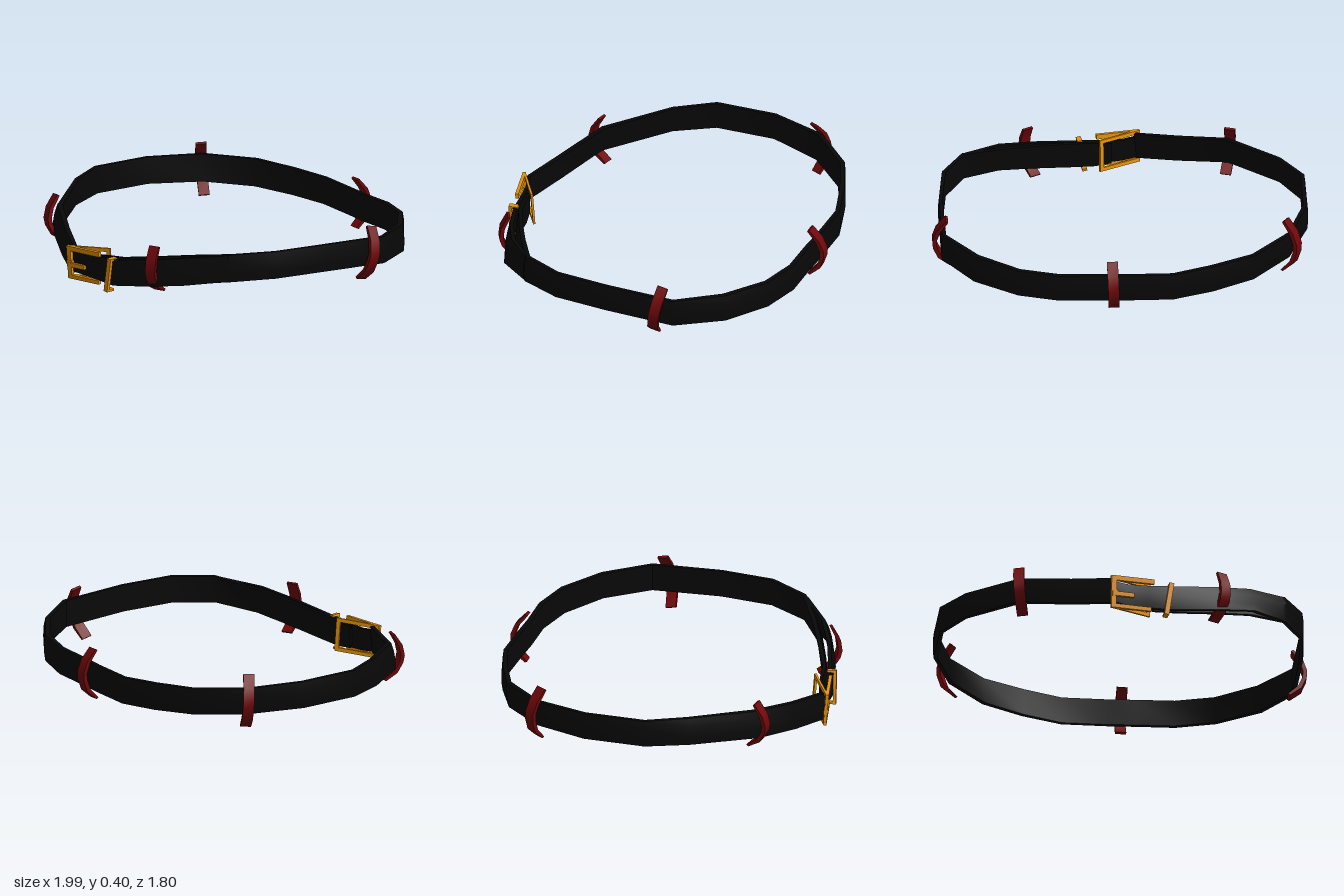
import * as THREE from 'three';
import { toCreasedNormals } from 'three/addons/utils/BufferGeometryUtils.js';

const black = new THREE.MeshStandardMaterial({ name: 'black leather', color: 0x080808 });
const red = new THREE.MeshStandardMaterial({ name: 'dark red', color: 0x700609 });
const gold = new THREE.MeshStandardMaterial({ name: 'gold metal', color: 0xeb960a });

function addMesh(parent, name, geometry, material) {
  const mesh = new THREE.Mesh(geometry, material);
  mesh.name = name;
  parent.add(mesh);
  return mesh;
}

// Strap swept along points [x, y, z, halfThickness, lean, halfHeight]; lean pushes the lower edge outward
function strapGeometry(points) {
  const up = new THREE.Vector3(0, 1, 0);
  const centres = points.map((p) => new THREE.Vector3(p[0], p[1], p[2]));
  const section = [[-1, -1], [0.6, -1], [1, -0.4], [1, 0.4], [0.6, 1], [-1, 1]];
  const n = section.length;
  const verts = [];
  const index = [];
  centres.forEach((c, i) => {
    const before = centres[Math.max(i - 1, 0)];
    const after = centres[Math.min(i + 1, centres.length - 1)];
    const along = after.clone().sub(before).setY(0).normalize();
    const out = up.clone().cross(along);
    const [, , , thick, lean, halfHeight = 0.073] = points[i];
    for (const [a, b] of section) {
      const p = c.clone().addScaledVector(out, a * thick - b * lean).addScaledVector(up, b * halfHeight);
      verts.push(p.x, p.y, p.z);
    }
  });
  for (let i = 0; i < centres.length - 1; i++) {
    for (let j = 0; j < n; j++) {
      const a = i * n + j, b = i * n + (j + 1) % n;
      index.push(a, b, b + n, a, b + n, a + n);
    }
  }
  // End caps
  const last = (centres.length - 1) * n;
  for (let j = 1; j < n - 1; j++) {
    index.push(0, j + 1, j, last, last + j, last + j + 1);
  }
  const g = new THREE.BufferGeometry();
  g.setAttribute('position', new THREE.Float32BufferAttribute(verts, 3));
  g.setIndex(index);
  return toCreasedNormals(g, 0.6);
}

// Flat outline extruded evenly about z = 0
function plate(points, depth, hole) {
  const vectors = (list) => list.map(([x, y]) => new THREE.Vector2(x, y));
  const shape = new THREE.Shape(vectors(points));
  if (hole) shape.holes.push(new THREE.Path(vectors(hole)));
  const g = new THREE.ExtrudeGeometry(shape, { depth, bevelEnabled: false });
  g.translate(0, 0, -depth / 2);
  return toCreasedNormals(g, 0.6);
}

// Turn a clip so that it faces outward along (nx, nz)
function placeClip(mesh, x, y, z, nx, nz, roll, lean) {
  mesh.position.set(x, y, z);
  mesh.rotation.set(roll, Math.atan2(-nz, nx), lean, 'YXZ');
}

export function createModel() {
  const model = new THREE.Group();
  model.name = 'belt';

  // Main strap, from the buckle round the back to the overlap
  addMesh(model, 'strap', strapGeometry([
    [-0.13, 0.125, 0.86, 0.013, 0.005],
    [-0.35, 0.157, 0.76, 0.016, 0.008],
    [-0.61, 0.21, 0.63, 0.018, 0.012],
    [-0.87, 0.25, 0.33, 0.014, 0.008],
    [-0.98, 0.26, 0.12, 0.013, 0],
    [-0.98, 0.262, -0.21, 0.013, 0],
    [-0.88, 0.255, -0.5, 0.015, -0.008],
    [-0.68, 0.24, -0.705, 0.016, -0.006],
    [-0.46, 0.225, -0.795, 0.016, 0],
    [-0.25, 0.212, -0.85, 0.014, 0],
    [0, 0.207, -0.84, 0.014, 0],
    [0.14, 0.206, -0.83, 0.015, 0],
    [0.35, 0.207, -0.825, 0.016, 0],
    [0.56, 0.21, -0.765, 0.016, 0],
    [0.78, 0.215, -0.61, 0.017, 0.004],
    [0.94, 0.22, -0.38, 0.014, 0],
    [0.94, 0.232, 0, 0.012, 0],
    [0.91, 0.232, 0.29, 0.013, 0],
    [0.80, 0.222, 0.5, 0.014, 0.004],
    [0.6, 0.19, 0.625, 0.015, 0.02],
    [0.42, 0.158, 0.7, 0.014, 0.014],
    [0.2, 0.12, 0.78, 0.012, 0.005],
    [0.09, 0.114, 0.79, 0.01, 0, 0.068],
    [0, 0.112, 0.806, 0.008, 0, 0.06],
  ]), black);

  // Tongue lying over the strap and through the buckle
  addMesh(model, 'tongue', strapGeometry([
    [0.79, 0.22, 0.512, 0.012, 0.004, 0.07],
    [0.61, 0.188, 0.675, 0.014, 0.02, 0.07],
    [0.42, 0.152, 0.752, 0.013, 0.012, 0.07],
    [0.18, 0.113, 0.816, 0.013, 0.004, 0.07],
    [0.05, 0.11, 0.825, 0.012, 0, 0.064],
    [-0.06, 0.112, 0.838, 0.011, 0, 0.06],
    [-0.13, 0.118, 0.858, 0.01, 0, 0.06],
  ]), black);

  // Red crescent clips hooked over the strap
  const redClip = plate([
    [-0.05, 0.148], [0.005, 0.085], [0.03, 0.022], [0.03, -0.022], [0.008, -0.09], [-0.05, -0.145],
    [-0.062, -0.138], [-0.012, -0.08], [0.008, -0.02], [0.008, 0.02], [-0.014, 0.076], [-0.062, 0.14],
  ], 0.058);
  [
    ['rightClip', -0.615, 0.2, 0.662, -0.2, 0.98, 0.06, -0.18, 0.9],
    ['rightBackClip', -0.905, 0.25, -0.512, -0.87, -0.5, -0.06, 0, 1],
    ['backClip', 0.065, 0.215, -0.873, 0, -1, 0.03, 0, 0.94],
    ['leftClip', 0.965, 0.207, -0.29, 1, 0, -0.18, -0.08, 1],
    ['leftFrontClip', 0.45, 0.16, 0.76, 0.46, 0.89, -0.02, -0.28, 0.92],
  ].forEach(([name, x, y, z, nx, nz, roll, lean, size]) => {
    const clip = addMesh(model, name, redClip, red);
    placeClip(clip, x, y, z, nx, nz, roll, lean);
    clip.scale.y = size;
  });

  // Gold keeper beside the buckle
  const keeper = addMesh(model, 'keeper', plate([
    [-0.03, 0.093], [0.02, 0.093], [0.02, -0.093], [-0.03, -0.093],
    [-0.03, -0.08], [0.003, -0.08], [0.003, 0.08], [-0.03, 0.08],
  ], 0.026), gold);
  placeClip(keeper, 0.157, 0.098, 0.83, 0.15, 0.99, -0.15, 0);

  // Buckle: hinged on its right edge, with a closed frame behind the strap and an open one in front
  const buckle = new THREE.Group();
  buckle.name = 'buckle';
  buckle.position.set(-0.152, 0.111, 0.88);
  buckle.rotation.x = 0.08;
  model.add(buckle);

  const backFrame = addMesh(buckle, 'backFrame', plate(
    [[0, -0.09], [0.25, -0.09], [0.25, 0.09], [0, 0.09]], 0.012,
    [[0.022, -0.07], [0.228, -0.07], [0.228, 0.07], [0.022, 0.07]]), gold);
  backFrame.rotation.y = 0.53;

  const front = new THREE.Group();
  front.name = 'buckleFront';
  front.rotation.y = 0.2;
  buckle.add(front);
  addMesh(front, 'frontFrame', plate([
    [0, -0.09], [0.22, -0.09], [0.22, -0.068], [0.028, -0.068],
    [0.028, 0.064], [0.235, 0.064], [0.235, 0.09], [0, 0.09],
  ], 0.018), gold);
  const prong = addMesh(front, 'prong', new THREE.BoxGeometry(0.12, 0.024, 0.014), gold);
  prong.position.set(0.065, -0.012, 0.006);
  const hinge = addMesh(front, 'prongHinge', new THREE.BoxGeometry(0.035, 0.035, 0.022), gold);
  hinge.position.set(0.016, -0.008, 0);
  return model;
}
